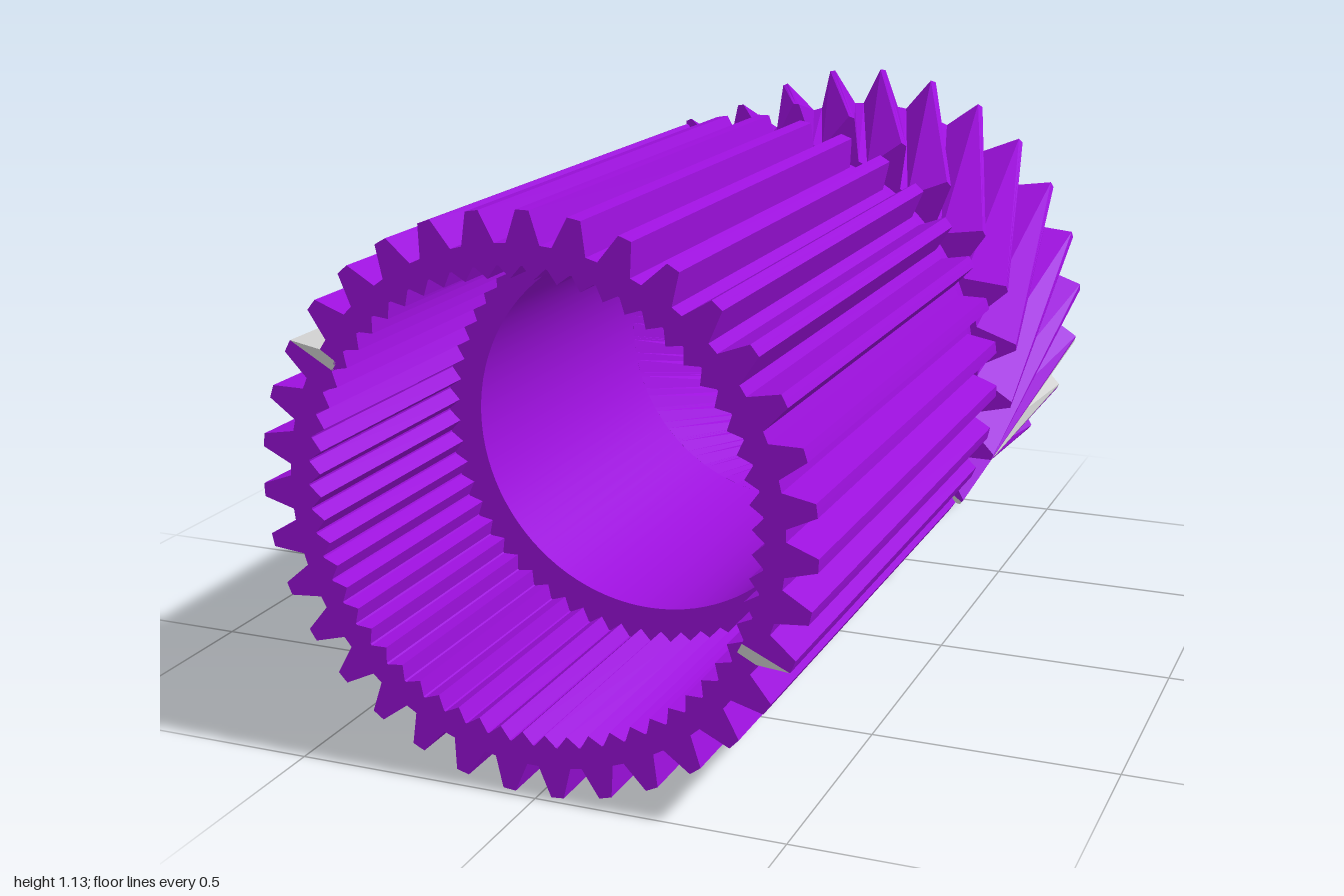
import * as THREE from 'three';

const purple = new THREE.MeshStandardMaterial({ color: 0x9c10dc, flatShading: true });
const smoothPurple = new THREE.MeshStandardMaterial({ color: 0x9c10dc, side: THREE.DoubleSide });
const grey = new THREE.MeshStandardMaterial({ color: 0xcccccc, flatShading: true });
const RAD = Math.PI / 180;

// Toothed ring along z. outer / inner list [fraction of pitch, radius] for one tooth.
// isGrey(tooth, segment) picks the segments that stay uncoloured.
function toothedRing(name, o) {
  const { count, start, outer, inner, zFront, zBack, twist = 0, isGrey = () => false } = o;
  const lists = { purple: [], grey: [] };
  const pitch = 2 * Math.PI / count;
  const point = (tooth, [f, r], back) => {
    const a = start * RAD + (tooth + f) * pitch + (back ? twist * RAD : 0);
    return [r * Math.cos(a), r * Math.sin(a), back ? zBack : zFront];
  };
  for (let t = 0; t < count; t++) {
    for (let s = 0; s < outer.length - 1; s++) {
      const list = isGrey(t, s) ? lists.grey : lists.purple;
      const quad = (a, b, c, d) => list.push(...a, ...b, ...c, ...a, ...c, ...d);
      const ends = [false, true].map(back => ({
        o0: point(t, outer[s], back), o1: point(t, outer[s + 1], back),
        i0: point(t, inner[s], back), i1: point(t, inner[s + 1], back),
      }));
      const [f, b] = ends;
      quad(b.o0, b.o1, f.o1, f.o0); // outer wall
      quad(b.i1, b.i0, f.i0, f.i1); // bore wall
      quad(f.i0, f.o0, f.o1, f.i1); // front face
      quad(b.i1, b.o1, b.o0, b.i0); // back face
    }
  }
  const group = new THREE.Group();
  group.name = name;
  for (const [key, material] of [['purple', purple], ['grey', grey]]) {
    if (!lists[key].length) continue;
    const geo = new THREE.BufferGeometry();
    geo.setAttribute('position', new THREE.Float32BufferAttribute(lists[key], 3));
    geo.computeVertexNormals();
    const mesh = new THREE.Mesh(geo, material);
    mesh.name = key === 'grey' ? name + 'MarkedTooth' : name + 'Teeth';
    group.add(mesh);
  }
  return group;
}

// Smooth open tube wall along z
function tubeWall(name, radius, zFront, zBack) {
  const geo = new THREE.CylinderGeometry(radius, radius, zFront - zBack, 96, 1, true);
  geo.rotateX(Math.PI / 2).translate(0, 0, (zFront + zBack) / 2);
  const mesh = new THREE.Mesh(geo, smoothPurple);
  mesh.name = name;
  return mesh;
}

// Same fractions as the given profile, at a constant radius
const level = (profile, r) => profile.map(([f]) => [f, r]);

export function createModel() {
  const model = new THREE.Group();
  model.name = 'gearSleeve';
  const zStep = 0.45, boreR = 0.382;

  // Long straight-toothed section
  const spur = [[0, 0.555], [0.13, 0.555], [0.37, 0.495], [0.63, 0.495], [0.87, 0.555], [1, 0.555]];
  model.add(toothedRing('straightGear', {
    count: 35, start: 141.1, outer: spur, inner: level(spur, 0.455), zFront: 1, zBack: -0.2,
    isGrey: (t, s) => (t === 0 || t === 18) && s === 3,
  }));

  // Fine serrations inside the front opening
  const serration = [[0, 0.457], [0.5, 0.432], [1, 0.457]];
  model.add(toothedRing('innerSerration', {
    count: 60, start: 0, outer: level(serration, 0.46), inner: serration, zFront: 1, zBack: zStep,
  }));

  // Shoulder where the serrated opening meets the plain bore
  const shoulder = new THREE.Mesh(new THREE.RingGeometry(boreR, 0.46, 96), smoothPurple);
  shoulder.position.z = zStep;
  shoulder.name = 'boreShoulder';
  model.add(shoulder);
  model.add(tubeWall('bore', boreR, zStep, -0.34));

  // Recessed neck between the gears
  model.add(tubeWall('neck', 0.46, -0.2, -0.34));

  // Short slanted-tooth section, twisted by two pitches
  const helical = [[0, 0.563], [0.05, 0.563], [0.4, 0.475], [0.6, 0.475], [0.95, 0.563], [1, 0.563]];
  model.add(toothedRing('slantedGear', {
    count: 26, start: 128.5, outer: helical, inner: level(helical, boreR),
    zFront: -0.34, zBack: -1, twist: 720 / 26,
    isGrey: t => t === 0 || t === 13,
  }));

  model.position.y = 0.565;
  const root = new THREE.Group();
  root.name = 'model';
  root.add(model);
  return root;
}
